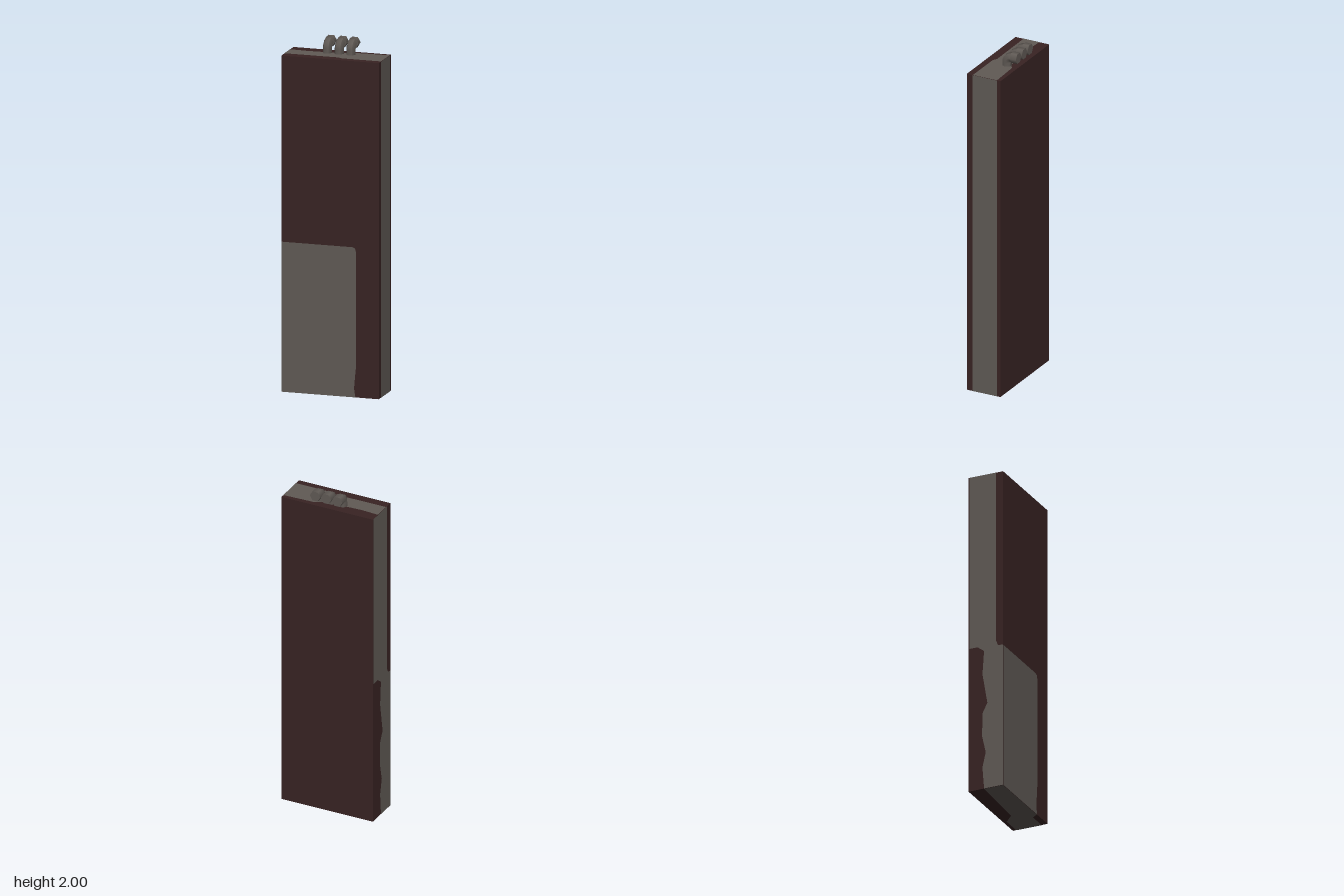
import * as THREE from 'three';

const W = 0.284, H = 1.915, D = 0.106, LIFT = 0.0012;

const mat = (name, color) => Object.assign(new THREE.MeshStandardMaterial({ color }), { name });

export function createModel() {
  const model = new THREE.Group();
  model.name = 'panelWithPipes';
  const maroon = mat('dark maroon', 0x382323);
  const grey = mat('warm grey', 0x605a55);

  const add = (name, geometry, material, parent = model) => {
    const mesh = new THREE.Mesh(geometry, material);
    mesh.name = name;
    parent.add(mesh);
    return mesh;
  };

  // Slab body
  add('body', new THREE.BoxGeometry(2 * W, H, 2 * D).translate(0, H / 2, 0), maroon);

  // Flat grey face from an outline, turned onto one side of the slab
  const face = (name, points, turn) => {
    const shape = new THREE.Shape(points.map(([u, v]) => new THREE.Vector2(u, v)));
    add(name, turn(new THREE.ShapeGeometry(shape)), grey);
  };

  // Front patch: rounded upper corner, slightly worn lower edge
  face('frontPatch', [
    [-W, 0], [0.148, 0], [0.14, 0.05], [0.146, 0.12], [0.151, 0.17],
    [0.151, 0.83], [0.146, 0.848], [0.13, 0.855], [-W, 0.855],
  ], g => g.translate(0, 0, D + LIFT));

  // Band on the left side (outline in -z, y)
  face('leftSideBand', [[-0.07, 0], [0.085, 0], [0.085, H], [-0.07, H]],
    g => g.rotateY(Math.PI / 2).translate(W + LIFT, 0, 0));

  // Band on the right side, stepping forward to meet the front patch (outline in z, y)
  face('rightSideBand', [
    [-0.01, 0], [D, 0], [D, 0.855], [0.075, 0.86], [0.063, 0.89], [0.063, H],
    [-0.1, H], [-0.1, 0.87], [-0.05, 0.87], [-0.01, 0.84], [-0.02, 0.7],
    [0.01, 0.52], [-0.02, 0.46], [-0.022, 0.32], [0, 0.22], [-0.02, 0.13],
  ], g => g.rotateY(-Math.PI / 2).translate(-W - LIFT, 0, 0));

  // Band across the top (outline in x, -z)
  face('topBand', [
    [-W, -0.054], [0.03, -0.053], [0.055, -0.067], [W, -0.068],
    [W, 0.084], [0.1, 0.078], [0.06, 0.055], [-0.1, 0.042], [-0.18, 0.038], [-W, 0.045],
  ], g => g.rotateX(-Math.PI / 2).translate(0, H + LIFT, 0));

  // Band across the underside (outline in x, z)
  face('bottomBand', [
    [-W, -0.01], [-0.1, -0.02], [0.1, -0.03], [0.16, -0.085], [W, -0.085],
    [W, 0.07], [0.17, 0.072], [0.148, D], [-W, D],
  ], g => g.rotateX(Math.PI / 2).translate(0, -LIFT, 0));

  // Hexagonal pipe swept up and bent to the back
  const path = [[1.905, -0.035, 0], [1.94, -0.035, 0]];
  for (let i = 1; i <= 4; i++) {
    const a = i * Math.PI / 8;
    path.push([1.94 + 0.033 * Math.sin(a), -0.068 + 0.033 * Math.cos(a), a]);
  }
  const rows = path.length - 1;
  const elbow = new THREE.CylinderGeometry(0.027, 0.027, 1, 6, rows, true, Math.PI / 6);
  const p = elbow.attributes.position;
  for (let i = 0; i < p.count; i++) {
    const [y, z, a] = path[Math.round((p.getY(i) + 0.5) * rows)];
    const r = p.getZ(i);
    p.setY(i, y + r * Math.sin(a));
    p.setZ(i, z + r * Math.cos(a));
  }
  elbow.computeVertexNormals();

  const collar = new THREE.CylinderGeometry(0.0325, 0.0325, 0.039, 6, 1, false, Math.PI / 6)
    .rotateX(Math.PI / 2).translate(0, 1.972, -0.0875);

  // Three pipes in a row
  [-0.062, 0.007, 0.075].forEach((x, i) => {
    const pipe = new THREE.Group();
    pipe.name = `pipe${i + 1}`;
    pipe.position.x = x;
    add('elbow', elbow, grey, pipe);
    add('collar', collar, grey, pipe);
    model.add(pipe);
  });

  return model;
}
